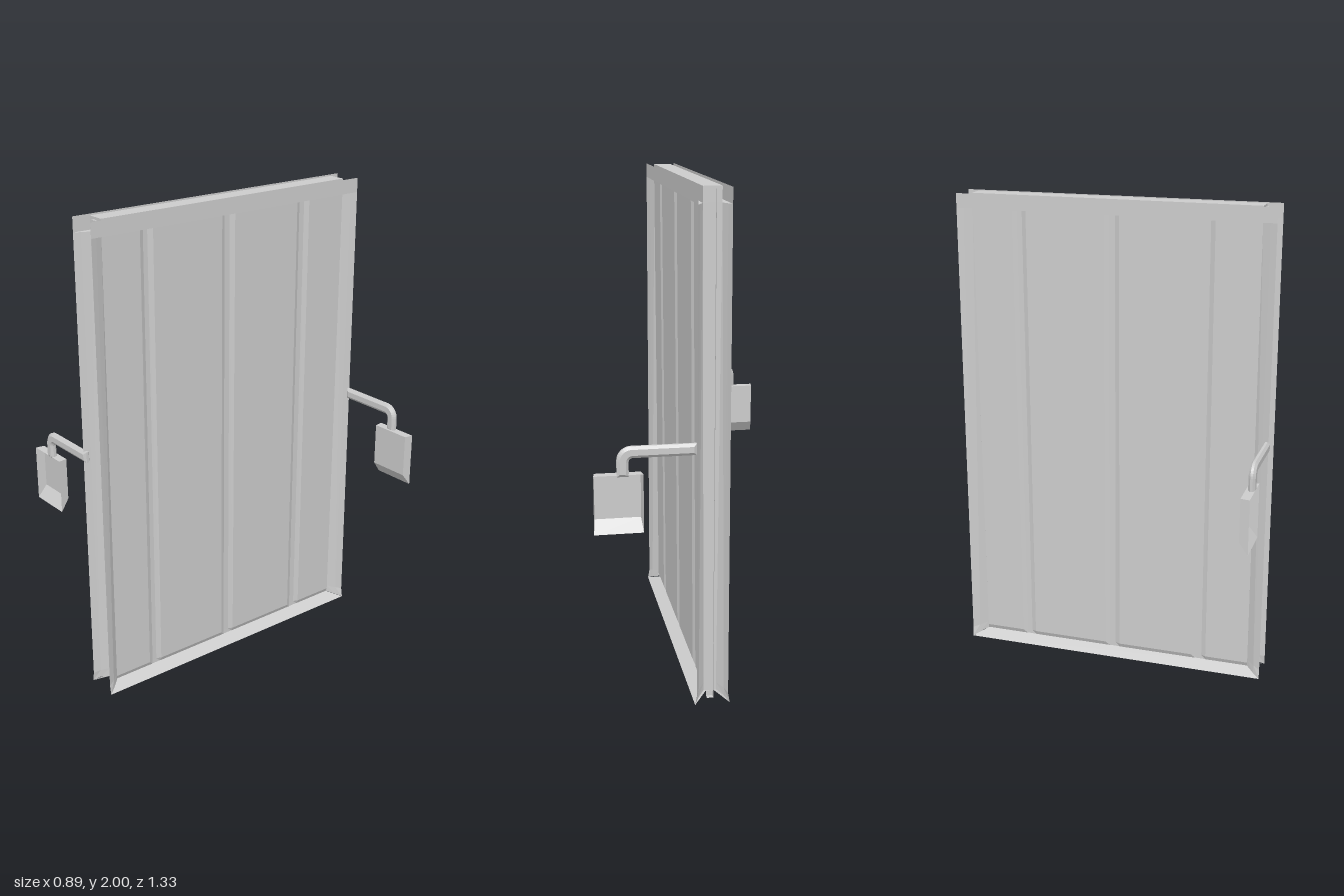
import * as THREE from 'three';

const metal = new THREE.MeshStandardMaterial({ color: 0xcccccc, flatShading: true });
const sheet = new THREE.MeshStandardMaterial({ color: 0xcccccc, flatShading: true, side: THREE.DoubleSide });

function add(parent, name, geometry, material = metal) {
  const mesh = new THREE.Mesh(geometry, material);
  mesh.name = name;
  parent.add(mesh);
  return mesh;
}

function box(parent, name, x0, x1, y0, y1, z0, z1) {
  const mesh = add(parent, name, new THREE.BoxGeometry(x1 - x0, y1 - y0, z1 - z0));
  mesh.position.set((x0 + x1) / 2, (y0 + y1) / 2, (z0 + z1) / 2);
}

// Thin sheet joining rows of points; all rows have the same length
function strip(parent, name, rows) {
  const n = rows[0].length, index = [];
  for (let r = 0; r < rows.length - 1; r++) {
    for (let i = 0; i < n - 1; i++) {
      const a = r * n + i, b = a + n;
      index.push(a, b, a + 1, a + 1, b, b + 1);
    }
  }
  const g = new THREE.BufferGeometry();
  g.setAttribute('position', new THREE.Float32BufferAttribute(rows.flat(2), 3));
  g.setIndex(index);
  g.computeVertexNormals();
  add(parent, name, g, sheet);
}

// Half thickness at the top, panel foot and groove floor; reach of the flanges
const TOP = 0.036, LOW = 0.025, FLOOR = 0.016, RIM = 0.062, FOOT = 0.069;
const GROOVES = [[0.43, 0.37], [0.04, -0.025], [-0.35, -0.415]];

// One skin of the panel with its flanges, built facing +x
function createFace() {
  const face = new THREE.Group();
  face.name = 'panelFace';

  // Pressed sheet: slightly tapered, with three shallow vertical grooves
  const profile = [[0.6, false]];
  for (const [z0, z1] of GROOVES) {
    profile.push([z0, false], [z0 - 0.02, true], [z1 + 0.02, true], [z1, false]);
  }
  profile.push([-0.6, false]);
  const row = (x, floor, y) => profile.map(([z, low]) => [low ? floor : x, y, z]);
  strip(face, 'sheet', [
    row(0, 0, 0.025), row(FLOOR, FLOOR, 0.025), row(LOW, FLOOR, 0.045), row(TOP, TOP - 0.01, 1.94),
  ]);

  for (const s of [1, -1]) {
    strip(face, 'sideFlange', [
      [[LOW, 0.03, 0.6 * s], [0.052, 0.015, 0.632 * s], [FOOT, 0, 0.66 * s]],
      [[LOW, 0.06, 0.6 * s], [0.05, 0.05, 0.632 * s], [RIM, 0.04, 0.66 * s]],
      [[TOP, 1.94, 0.6 * s], [0.051, 1.94, 0.632 * s], [RIM, 1.94, 0.66 * s]],
    ]);
    strip(face, 'endPlate', [
      [[0, 0.025, 0.6 * s], [LOW, 0.03, 0.6 * s]],
      [[0, 1.94, 0.6 * s], [TOP, 1.94, 0.6 * s]],
    ]);
  }
  strip(face, 'bottomFlange', [
    [[FLOOR, 0.027, 0.6], [FOOT, 0, 0.66]],
    [[FLOOR, 0.027, -0.6], [FOOT, 0, -0.66]],
  ]);
  strip(face, 'topFlange', [
    [[TOP, 1.94, 0.6], [RIM, 1.94, 0.66], [RIM, 2, 0.66]],
    [[TOP, 1.94, -0.6], [RIM, 1.94, -0.66], [RIM, 2, -0.66]],
  ]);
  return face;
}

// Bent arm carrying an open tray, on the front edge and reaching to -x
function createBracket() {
  const bracket = new THREE.Group();
  bracket.name = 'bracket';
  const b = 0.011;
  const path = new THREE.Shape();
  path.moveTo(-0.055 - b, 1.065 - b);
  path.lineTo(-0.3, 1.065 - b);
  path.absarc(-0.3, 1.01, 0.055 - b, Math.PI / 2, Math.PI, false);
  path.lineTo(-0.355 + b, 0.96);
  path.lineTo(-0.31 - b, 0.96);
  path.lineTo(-0.31 - b, 1.0);
  path.absarc(-0.295, 1.005, 0.015 + b, Math.PI, Math.PI / 2, true);
  path.lineTo(-0.055 - b, 1.02 + b);
  const g = new THREE.ExtrudeGeometry(path, {
    depth: 0.01, bevelThickness: 0.009, bevelSize: b, bevelSegments: 1, curveSegments: 4,
  });
  add(bracket, 'arm', g).position.z = 0.646;

  // Tray: plate, sloping floor and two sides
  const L = -0.443, R = -0.256, back = 0.627, rim = 0.664, inset = 0.006;
  strip(bracket, 'trayBack', [
    [[L, 0.958, rim], [L + inset, 0.958, back], [L + inset, 0.78, back], [L, 0.73, rim]],
    [[R, 0.958, rim], [R - inset, 0.958, back], [R - inset, 0.78, back], [R, 0.73, rim]],
  ]);
  for (const [x, xi] of [[L, L + inset], [R, R - inset]]) {
    strip(bracket, 'traySide', [
      [[x, 0.958, rim], [x, 0.73, rim]],
      [[xi, 0.958, back], [xi, 0.78, back]],
    ]);
  }
  return bracket;
}

export function createModel() {
  const model = new THREE.Group();
  const panel = new THREE.Group();
  panel.name = 'panel';
  panel.position.x = -0.0125;
  model.add(panel);

  box(panel, 'topRail', -TOP, TOP, 1.94, 2, -0.6, 0.6);
  for (const s of [1, -1]) box(panel, 'edgeSeal', -0.013, 0.013, 0, 1.99, 0.59 * s, 0.61 * s);

  // Two faces and two brackets, each pair half a turn apart
  for (const turn of [0, Math.PI]) {
    const face = createFace();
    face.rotation.y = turn;
    panel.add(face);
    const bracket = createBracket();
    bracket.rotation.y = turn;
    bracket.position.x = -0.003;
    model.add(bracket);
  }
  return model;
}
